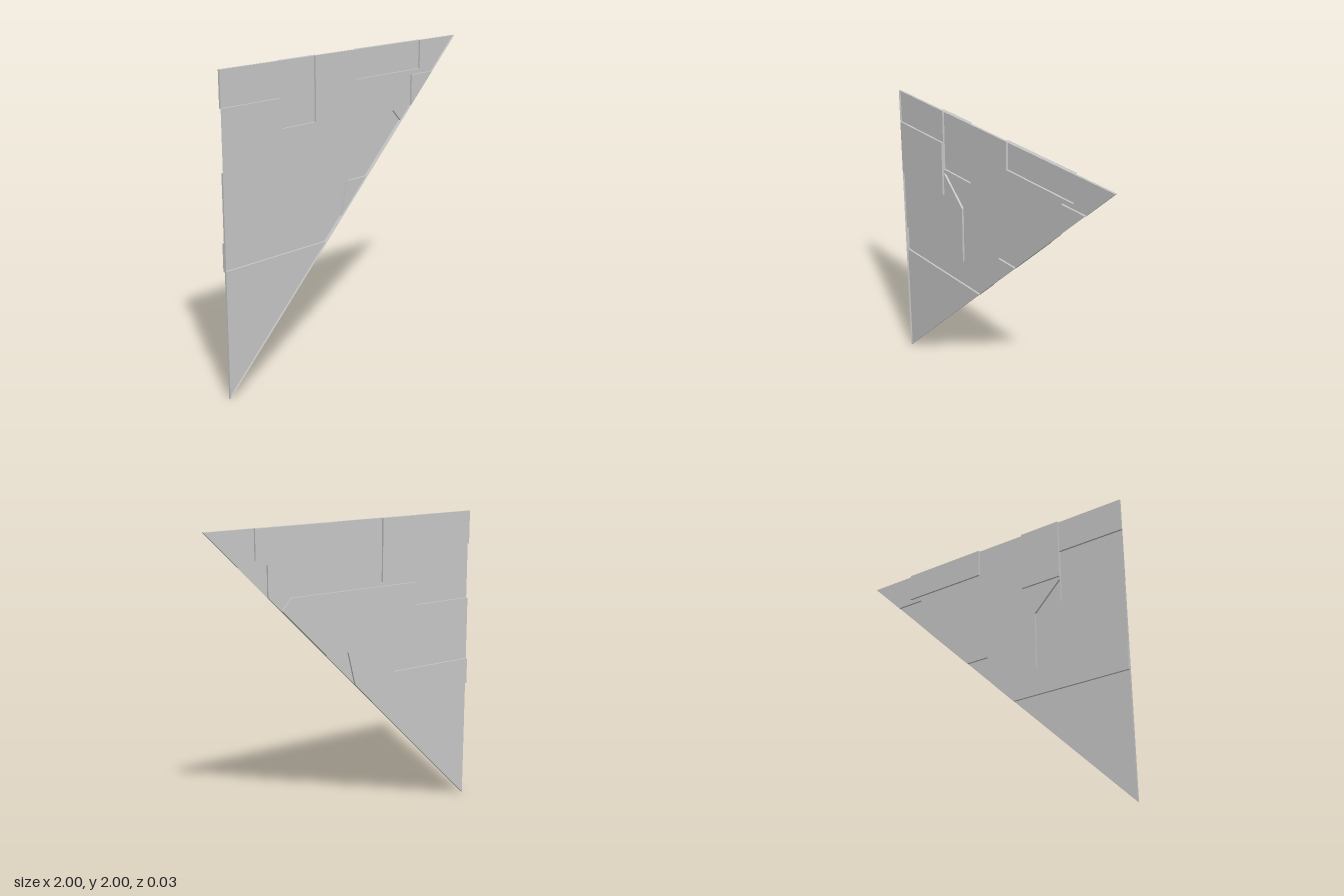
import * as THREE from 'three';

// Stepped triangular panel shell, open at the front: three flat levels joined by low walls.
const LEVEL_Z = [0.0135, 0, -0.0135];

const panelGrey = new THREE.MeshStandardMaterial({ color: 0xc6c6c6, side: THREE.DoubleSide });
panelGrey.name = 'panelGrey';

// Flat plate filling an outline at one level, facing the back
function plate(name, points, level) {
  const shape = new THREE.Shape(points.map(([x, y]) => new THREE.Vector2(-x, y)));
  const geometry = new THREE.ShapeGeometry(shape);
  geometry.rotateY(Math.PI);
  geometry.translate(0, 0, LEVEL_Z[level]);
  const mesh = new THREE.Mesh(geometry, panelGrey);
  mesh.name = name;
  return mesh;
}

// Walls along a closed outline, from its level to the one in front; corners run counter-clockwise
function walls(name, points, level) {
  const back = LEVEL_Z[level], front = LEVEL_Z[level - 1];
  const position = [];
  points.forEach(([ax, ay], i) => {
    const [bx, by] = points[(i + 1) % points.length];
    position.push(ax, ay, back, bx, by, back, bx, by, front);
    position.push(ax, ay, back, bx, by, front, ax, ay, front);
  });
  const geometry = new THREE.BufferGeometry();
  geometry.setAttribute('position', new THREE.Float32BufferAttribute(position, 3));
  geometry.computeVertexNormals();
  const mesh = new THREE.Mesh(geometry, panelGrey);
  mesh.name = name;
  return mesh;
}

const rect = (x0, y0, x1, y1) => [[x0, y0], [x1, y0], [x1, y1], [x0, y1]];

export function createModel() {
  const model = new THREE.Group();
  model.name = 'steppedTrianglePanel';

  // Sunken plates in the front plane
  model.add(plate('sunkenSidePlate', rect(-1, 1.41, -0.547, 1.78), 0));
  model.add(plate('sunkenEdgePlate', [[0.58, 1.58], [0.78, 1.78], [0.58, 1.78]], 0));

  // Middle level, in the areas left between the raised plates
  const middle = {
    lowerCorner: [[-1, 0], [-0.19, 0.81], [-1, 0.81]],
    leftPatch: [[-1, 0.987], [-0.361, 0.987], [-0.361, 1.378], [-0.547, 1.565], [-0.547, 1.41], [-1, 1.41]],
    topLeftPatch: rect(-1, 1.78, -0.547, 2),
    edgeNotch: [[-0.05, 0.95], [0.17, 1.17], [0.005, 1.17]],
    upperField: [
      [-0.547, 1.565], [0.42, 1.565], [0.49, 1.49], [0.58, 1.58], [0.58, 1.78], [0.78, 1.78], [1, 2],
      [0.67, 2], [0.67, 1.81], [0.08, 1.81], [0.08, 2], [-0.265, 2], [-0.265, 1.592], [-0.547, 1.592],
    ],
  };
  for (const [name, points] of Object.entries(middle)) model.add(plate(name, points, 1));

  // Rim of the middle level, stepping round the sunken plates
  model.add(walls('rim', [
    [-1, 0], [0.58, 1.58], [0.58, 1.78], [0.78, 1.78], [1, 2], [-1, 2],
    [-1, 1.78], [-0.547, 1.78], [-0.547, 1.41], [-1, 1.41],
  ], 1));

  // Raised plates on the back, each with its own walls
  const raised = {
    raisedBand: [
      [-1, 0.81], [-0.19, 0.81], [-0.05, 0.95], [0.005, 1.17], [0.17, 1.17], [0.49, 1.49],
      [0.42, 1.565], [-0.547, 1.565], [-0.361, 1.378], [-0.361, 0.987], [-1, 0.987],
    ],
    raisedTallPlate: rect(-0.547, 1.592, -0.265, 2),
    raisedWidePlate: rect(0.08, 1.81, 0.67, 2),
  };
  for (const [name, points] of Object.entries(raised)) {
    model.add(plate(name, points, 2), walls(name + 'Walls', points, 2));
  }
  return model;
}
